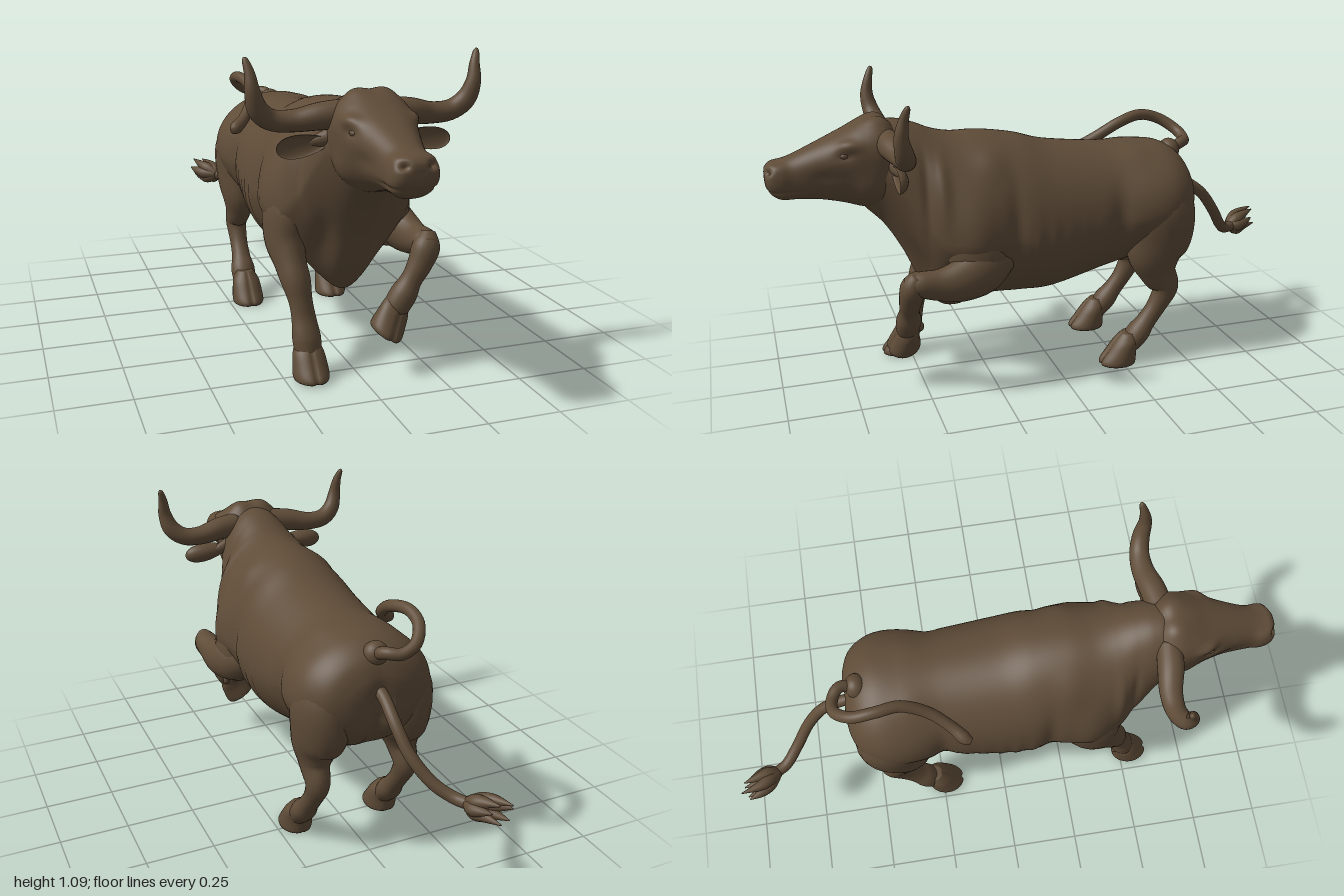
import * as THREE from 'three';

const hide = new THREE.MeshStandardMaterial({ color: 0x5f4c38 });
hide.name = 'bronze brown';

const V = (x, y, z) => new THREE.Vector3(x, y, z);

// Smoothly subdivide rows of numbers (Catmull-Rom on every column)
function refine(rows, n = 5) {
  const out = [];
  const at = i => rows[Math.min(rows.length - 1, Math.max(0, i))];
  for (let i = 0; i < rows.length - 1; i++) {
    for (let k = 0; k < n; k++) {
      const t = k / n;
      out.push(rows[i].map((b, c) => {
        const a = at(i - 1)[c], d = at(i + 1)[c], e = at(i + 2)[c];
        return b + 0.5 * t * (d - a + t * (2 * a - 5 * b + 4 * d - e + t * (3 * (b - d) + e - a)));
      }));
    }
  }
  out.push(rows[rows.length - 1]);
  return out;
}

// Closed skin over rings of points, with a fan at both ends
function skin(rings) {
  const n = rings[0].length, pos = [], idx = [];
  rings.forEach(r => r.forEach(p => pos.push(p.x, p.y, p.z)));
  for (let i = 0; i < rings.length - 1; i++) {
    for (let j = 0; j < n; j++) {
      const a = i * n + j, b = i * n + (j + 1) % n;
      idx.push(a, b, a + n, b, b + n, a + n);
    }
  }
  [0, rings.length - 1].forEach(r => {
    const c = rings[r].reduce((s, p) => s.add(p), V(0, 0, 0)).divideScalar(n);
    const ci = pos.length / 3;
    pos.push(c.x, c.y, c.z);
    for (let j = 0; j < n; j++) {
      const a = r * n + j, b = r * n + (j + 1) % n;
      if (r === 0) idx.push(ci, b, a); else idx.push(ci, a, b);
    }
  });
  const g = new THREE.BufferGeometry();
  g.setAttribute('position', new THREE.Float32BufferAttribute(pos, 3));
  g.setIndex(idx);
  g.computeVertexNormals();
  return g;
}

// Trunk-like loft along z; rows: z, top, bottom, half width, height of widest point, taper below
function trunk(rows, square = 1, n = 96) {
  return skin(refine(rows, 11).map(([z, top, bot, w, mid, k]) =>
    Array.from({ length: n }, (_, j) => {
      const a = j / n * Math.PI * 2, c = Math.cos(a), s = Math.sin(a);
      const px = Math.sign(c) * Math.abs(c) ** square, py = Math.sign(s) * Math.abs(s) ** square;
      return V(w * px * (s < 0 ? 1 + k * s : 1), mid + py * (s > 0 ? top - mid : mid - bot), z);
    })));
}

// Mirrored soft muscles and hollows; rows: x, y, z, spread in x, y, z, height
function sculpt(geo, bumps) {
  const p = geo.attributes.position, nm = geo.attributes.normal;
  for (let i = 0; i < p.count; i++) {
    const x = Math.abs(p.getX(i)), y = p.getY(i), z = p.getZ(i);
    let h = 0;
    for (const [bx, by, bz, sx, sy, sz, amount] of bumps) {
      h += amount * Math.exp(-(((x - bx) / sx) ** 2) - ((y - by) / sy) ** 2 - ((z - bz) / sz) ** 2);
    }
    p.setXYZ(i, p.getX(i) + h * nm.getX(i), y + h * nm.getY(i), z + h * nm.getZ(i));
  }
  geo.computeVertexNormals();
  return geo;
}

// Limb along a path; rows: x, y, z, radius along ref, radius across it
function limb(rows, ref = V(1, 0, 0), n = 24) {
  const r = refine(rows), p = r.map(q => V(q[0], q[1], q[2]));
  const u = ref.clone();
  return skin(p.map((c, i) => {
    const t = p[Math.min(i + 1, p.length - 1)].clone().sub(p[Math.max(i - 1, 0)]).normalize();
    u.addScaledVector(t, -u.dot(t)).normalize();
    const v = t.clone().cross(u);
    return Array.from({ length: n }, (_, j) => {
      const a = j / n * Math.PI * 2;
      return c.clone().addScaledVector(u, r[i][3] * Math.cos(a)).addScaledVector(v, r[i][4] * Math.sin(a));
    });
  }));
}

// Cloven hoof standing on y = 0 with the toe towards +z; rows: y, z centre, half width, half length
function hoofGeometry() {
  const n = 48;
  const rows = [[0, 0.005, 0.058, 0.07], [0.015, 0.004, 0.061, 0.071], [0.05, -0.01, 0.058, 0.058],
    [0.08, -0.024, 0.053, 0.05], [0.1, -0.034, 0.044, 0.043], [0.12, -0.04, 0.03, 0.03]];
  return skin(refine(rows, 4).map(([y, zc, w, l]) => Array.from({ length: n }, (_, j) => {
    const a = -j / n * Math.PI * 2;
    const cleft = 1 - 0.14 * Math.exp(-((Math.cos(a) / 0.13) ** 2)) * (Math.sin(a) < 0 ? 0.3 : 1);
    return V(w * Math.cos(a), y, zc + l * Math.sin(a) * cleft);
  })));
}

export function createModel() {
  const model = new THREE.Group();
  model.name = 'bull';
  const add = (name, geo) => {
    const m = new THREE.Mesh(geo, hide);
    m.name = name;
    model.add(m);
    return m;
  };
  const ball = (name, p, s) => {
    const m = add(name, new THREE.SphereGeometry(1, 24, 16));
    m.position.set(...p);
    m.scale.set(...s);
  };

  // Body and neck with muscles, flank hollows, neck folds and ribs
  const ribs = [0.1, 0.04, -0.02, -0.08, -0.14].map(z => [0.25, 0.5, z, 0.08, 0.1, 0.014, 0.004]);
  add('body', sculpt(trunk([
    [-0.56, 0.66, 0.56, 0.05, 0.62, 0], [-0.55, 0.715, 0.51, 0.13, 0.62, 0],
    [-0.515, 0.778, 0.46, 0.195, 0.62, 0], [-0.445, 0.818, 0.41, 0.232, 0.61, 0],
    [-0.34, 0.828, 0.38, 0.236, 0.59, 0.1], [-0.2, 0.832, 0.345, 0.235, 0.57, 0.1],
    [0, 0.855, 0.297, 0.25, 0.56, 0], [0.12, 0.888, 0.292, 0.255, 0.55, 0.1],
    [0.25, 0.908, 0.285, 0.248, 0.55, 0.35], [0.35, 0.91, 0.25, 0.242, 0.54, 0.55],
    [0.42, 0.925, 0.27, 0.225, 0.55, 0.55], [0.48, 0.95, 0.36, 0.19, 0.62, 0.4],
    [0.54, 0.968, 0.49, 0.158, 0.72, 0.3], [0.6, 0.965, 0.59, 0.13, 0.79, 0.2],
    [0.66, 0.92, 0.655, 0.1, 0.8, 0.1], [0.7, 0.88, 0.7, 0.06, 0.8, 0]]), [
    [0.22, 0.62, -0.37, 0.1, 0.15, 0.1, 0.02], [0.22, 0.56, -0.225, 0.08, 0.13, 0.035, -0.016],
    [0.12, 0.82, -0.32, 0.06, 0.05, 0.07, 0.008], [0, 0.52, -0.54, 0.035, 0.13, 0.08, -0.035],
    [0.24, 0.58, 0.31, 0.12, 0.15, 0.08, 0.024], [0.25, 0.6, 0.17, 0.1, 0.16, 0.03, -0.012],
    [0.17, 0.74, 0.42, 0.07, 0.12, 0.022, 0.01], [0.17, 0.74, 0.475, 0.07, 0.14, 0.016, -0.008],
    [0.1, 0.5, 0.46, 0.04, 0.12, 0.06, -0.022], [0.16, 0.83, 0.24, 0.06, 0.07, 0.05, 0.008], ...ribs]));

  // Head with poll, brows, sockets, cheeks, nostrils and mouth line
  add('head', sculpt(trunk([
    [0.5, 0.9, 0.7, 0.07, 0.81, 0], [0.56, 0.955, 0.675, 0.118, 0.84, 0],
    [0.61, 0.982, 0.66, 0.134, 0.855, 0.1], [0.67, 0.972, 0.667, 0.128, 0.86, 0.15],
    [0.74, 0.94, 0.688, 0.113, 0.85, 0.15], [0.82, 0.905, 0.706, 0.09, 0.82, 0.1],
    [0.9, 0.87, 0.714, 0.075, 0.79, 0], [0.945, 0.854, 0.716, 0.077, 0.785, 0],
    [0.978, 0.847, 0.735, 0.07, 0.79, 0], [0.995, 0.832, 0.762, 0.052, 0.795, 0],
    [0.999, 0.815, 0.785, 0.025, 0.8, 0]], 0.87), [
    [0.05, 0.98, 0.61, 0.035, 0.03, 0.06, 0.01], [0.105, 0.905, 0.72, 0.03, 0.018, 0.04, 0.013],
    [0.11, 0.872, 0.735, 0.03, 0.016, 0.03, -0.007], [0.1, 0.74, 0.66, 0.06, 0.06, 0.05, 0.014],
    [0.085, 0.8, 0.8, 0.03, 0.03, 0.07, -0.007], [0.045, 0.823, 0.988, 0.015, 0.011, 0.02, -0.018],
    [0.06, 0.838, 0.96, 0.025, 0.02, 0.03, 0.006], [0.06, 0.752, 0.93, 0.05, 0.006, 0.06, -0.006]]));

  for (const s of [-1, 1]) {
    const side = s > 0 ? 'left' : 'right';
    ball(side + 'Eye', [s * 0.1, 0.873, 0.735], [0.011, 0.011, 0.017]);

    // Horn
    add(side + 'Horn', limb([
      [s * 0.07, 0.905, 0.59, 0.045, 0.048], [s * 0.15, 0.9, 0.58, 0.046, 0.044],
      [s * 0.23, 0.888, 0.565, 0.04, 0.036], [s * 0.3, 0.893, 0.565, 0.035, 0.034],
      [s * 0.348, 0.928, 0.577, 0.031, 0.033], [s * 0.368, 0.985, 0.588, 0.024, 0.025],
      [s * 0.374, 1.04, 0.58, 0.017, 0.017], [s * 0.384, 1.08, 0.568, 0.01, 0.01],
      [s * 0.385, 1.09, 0.565, 0.003, 0.003]], V(0, 0, 1)));

    // Cupped ear, narrowing towards the head
    const earGeo = new THREE.SphereGeometry(1, 32, 24), q = earGeo.attributes.position;
    for (let i = 0; i < q.count; i++) {
      q.setY(i, q.getY(i) * (0.9 + 0.25 * s * q.getX(i)));
      if (q.getZ(i) > 0) q.setZ(i, q.getZ(i) * -0.35);
    }
    earGeo.computeVertexNormals();
    const ear = add(side + 'Ear', earGeo);
    ear.position.set(s * 0.207, 0.81, 0.585);
    ear.scale.set(0.088, 0.04, 0.04);
    ear.rotation.z = -s * 0.1;
    add(side + 'EarRoot', limb([[s * 0.1, 0.835, 0.575, 0.03, 0.032],
      [s * 0.145, 0.823, 0.567, 0.02, 0.024], [s * 0.19, 0.813, 0.56, 0.008, 0.01]], V(0, 0, 1)));

    // Hind leg
    add(side + 'HindLeg', limb([
      [s * 0.13, 0.7, -0.41, 0.08, 0.09], [s * 0.145, 0.6, -0.412, 0.108, 0.128],
      [s * 0.152, 0.5, -0.402, 0.1, 0.134], [s * 0.163, 0.415, -0.387, 0.078, 0.11],
      [s * 0.17, 0.345, -0.4, 0.051, 0.072], [s * 0.172, 0.285, -0.428, 0.042, 0.052],
      [s * 0.172, 0.215, -0.397, 0.035, 0.038], [s * 0.173, 0.155, -0.354, 0.037, 0.036],
      [s * 0.175, 0.11, -0.318, 0.048, 0.043], [s * 0.176, 0.06, -0.275, 0.042, 0.035]]));
    add(side + 'HindHoof', hoofGeometry()).position.set(s * 0.176, 0, -0.242);
    for (const d of [-1, 1]) ball(side + 'HindDewclaw', [s * 0.176 + d * 0.022, 0.088, -0.328], [0.012, 0.018, 0.012]);
  }

  // Planted right foreleg
  add('rightForeleg', limb([
    [-0.15, 0.66, 0.32, 0.06, 0.09], [-0.178, 0.55, 0.325, 0.082, 0.118],
    [-0.195, 0.45, 0.35, 0.071, 0.098], [-0.194, 0.375, 0.4, 0.054, 0.065],
    [-0.185, 0.315, 0.438, 0.05, 0.051], [-0.177, 0.255, 0.46, 0.041, 0.039],
    [-0.171, 0.2, 0.475, 0.042, 0.036], [-0.168, 0.15, 0.49, 0.048, 0.042],
    [-0.166, 0.12, 0.498, 0.049, 0.044], [-0.165, 0.07, 0.515, 0.042, 0.035]]));
  add('rightForeHoof', hoofGeometry()).position.set(-0.165, 0.008, 0.533);
  for (const d of [-1, 1]) ball('rightDewclaw', [-0.165 + d * 0.022, 0.102, 0.466], [0.012, 0.018, 0.012]);

  // Raised left foreleg: forearm forward, shin hanging inward
  add('leftUpperArm', limb([
    [0.15, 0.66, 0.32, 0.06, 0.09], [0.18, 0.55, 0.31, 0.08, 0.115],
    [0.197, 0.46, 0.3, 0.072, 0.1], [0.192, 0.375, 0.3, 0.035, 0.05]]));
  add('leftForearm', limb([
    [0.17, 0.5, 0.2, 0.05, 0.06], [0.21, 0.46, 0.29, 0.07, 0.088],
    [0.235, 0.433, 0.38, 0.06, 0.076], [0.243, 0.43, 0.46, 0.047, 0.056],
    [0.243, 0.44, 0.53, 0.046, 0.044], [0.238, 0.44, 0.577, 0.024, 0.026]]));
  add('leftShin', limb([
    [0.252, 0.475, 0.53, 0.025, 0.025], [0.238, 0.43, 0.548, 0.048, 0.044],
    [0.212, 0.37, 0.555, 0.042, 0.04], [0.183, 0.32, 0.556, 0.037, 0.035],
    [0.158, 0.275, 0.555, 0.046, 0.045], [0.13, 0.23, 0.555, 0.044, 0.042],
    [0.115, 0.205, 0.555, 0.03, 0.03]]));
  const raised = add('leftForeHoof', hoofGeometry());
  raised.position.set(0.087, 0.15, 0.56);
  raised.rotation.set(0.25, 0, -0.52);
  raised.scale.set(1, 1, 0.85);
  for (const d of [-1, 1]) ball('leftDewclaw', [0.148 + d * 0.02, 0.25, 0.516], [0.012, 0.018, 0.012]);

  // Trailing tail with a pointed tuft
  const round = (pts, r) => pts.map(p => [...p, r, r]);
  add('trailingTail', limb(round([[0, 0.665, -0.52], [0, 0.64, -0.58], [0, 0.588, -0.65], [-0.02, 0.505, -0.715],
    [-0.07, 0.425, -0.775], [-0.125, 0.383, -0.83], [-0.16, 0.383, -0.89]], 0.021)));
  for (let i = 0; i < 6; i++) {
    const a = i / 6 * Math.PI * 2, c = Math.cos(a), s = Math.sin(a), len = 0.09 + 0.012 * (i % 3);
    add('tailTuft', limb([[-0.152, 0.383, -0.865, 0.018, 0.018],
      [-0.17 + c * 0.024, 0.383 + s * 0.022, -0.9, 0.026, 0.026],
      [-0.188 + c * 0.036, 0.39 + s * 0.03, -0.935, 0.018, 0.018],
      [-0.208 + c * 0.038, 0.398 + s * 0.036, -0.885 - len, 0.002, 0.002]], V(1, 0, 0), 12));
  }

  // Tail curled over the back
  ball('tailRoot', [0, 0.775, -0.5], [0.045, 0.045, 0.04]);
  add('curledTail', limb([...round([[0, 0.775, -0.5], [-0.005, 0.8, -0.555], [-0.05, 0.8, -0.585],
    [-0.105, 0.825, -0.578], [-0.145, 0.865, -0.52], [-0.148, 0.885, -0.44], [-0.132, 0.865, -0.35],
    [-0.15, 0.81, -0.26], [-0.195, 0.76, -0.19]], 0.021), [-0.235, 0.735, -0.15, 0.024, 0.024],
    [-0.25, 0.728, -0.125, 0.012, 0.012]]));

  return model;
}
